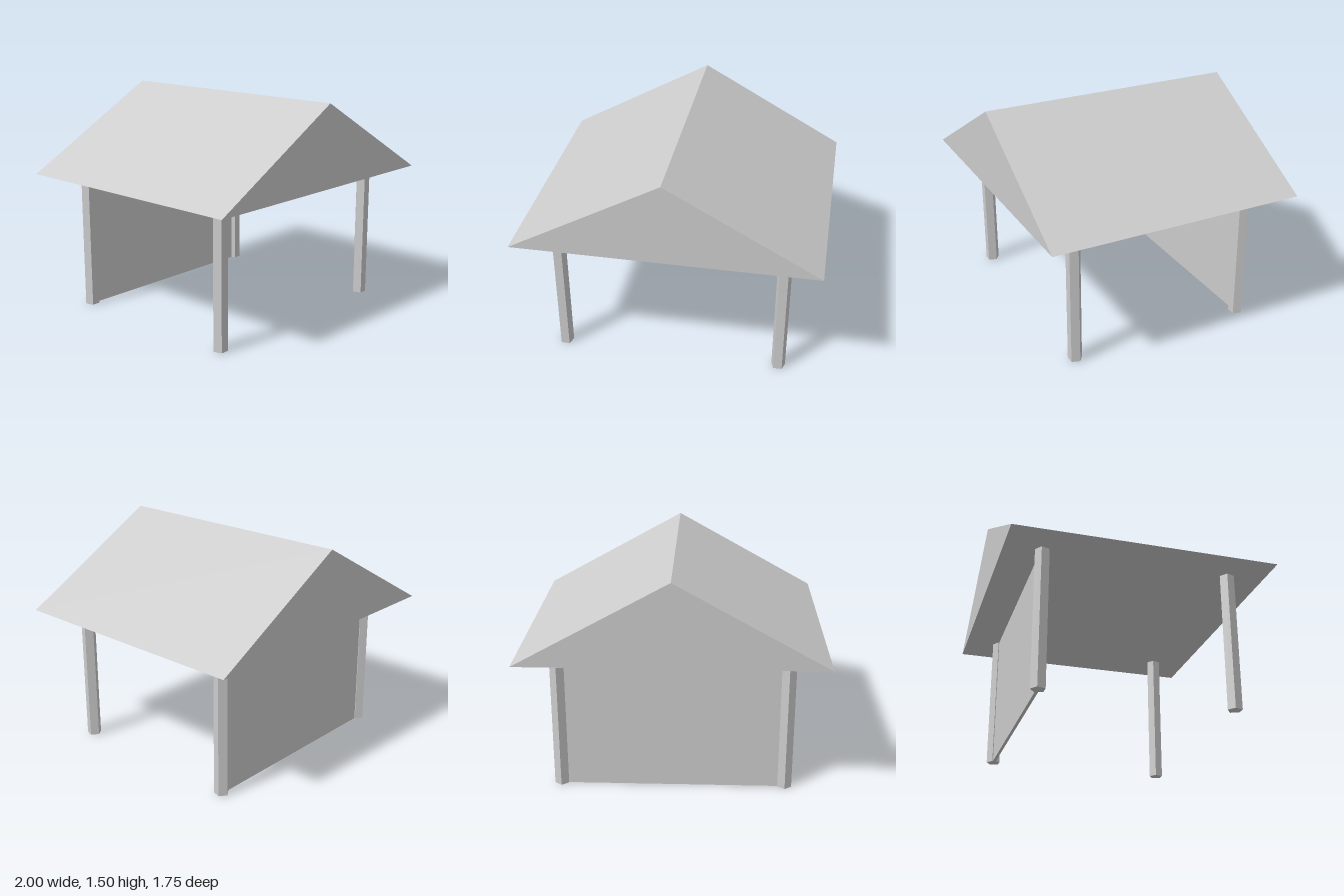
import * as THREE from 'three';

export function createModel() {
  const group = new THREE.Group();
  const gray = new THREE.MeshStandardMaterial({ color: 0xcccccc, flatShading: true });
  gray.name = 'light gray';

  const eaves = 0.944, ridge = 1.5, depth = 1.75;
  const postX = 0.749, postZ = 0.626, postR = 0.049;

  function add(name, geometry, x, y, z) {
    const mesh = new THREE.Mesh(geometry, gray);
    mesh.name = name;
    mesh.position.set(x, y, z);
    group.add(mesh);
  }

  // Solid gabled roof
  const gable = new THREE.Shape([
    new THREE.Vector2(-1, eaves),
    new THREE.Vector2(1, eaves),
    new THREE.Vector2(0, ridge),
  ]);
  add('roof', new THREE.ExtrudeGeometry(gable, { depth, bevelEnabled: false }), 0, 0, -depth / 2);

  // Five-sided corner posts, flat side to the front
  const post = new THREE.CylinderGeometry(postR, postR, eaves, 5, 1, false, Math.PI);
  for (const [sx, side] of [[1, 'Left'], [-1, 'Right']]) {
    add(`front${side}Post`, post, sx * postX, eaves / 2, postZ);
    add(`back${side}Post`, post, sx * postX, eaves / 2, -postZ);
  }

  // Thin wall between the back posts
  add('backWall', new THREE.BoxGeometry(postX * 2, eaves, 0.02), 0, eaves / 2, -postZ);

  return group;
}
